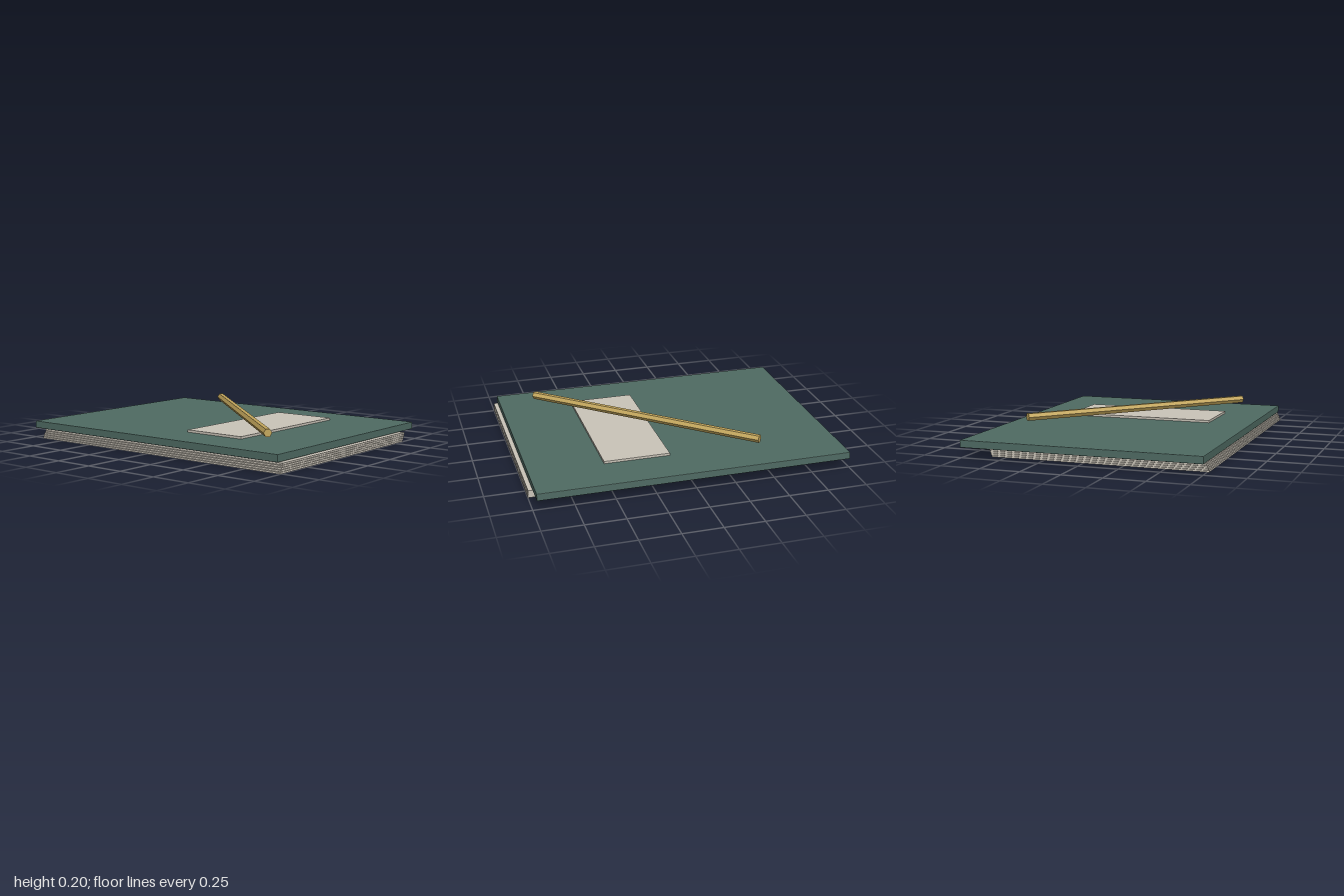
import * as THREE from 'three';
import { RoundedBoxGeometry } from 'three/addons/geometries/RoundedBoxGeometry.js';

const material = (color) => new THREE.MeshStandardMaterial({ color, flatShading: true });

// Mesh filling the given min/max ranges
function block(name, mat, [x0, x1], [y0, y1], [z0, z1], bevel = 0) {
  const size = [x1 - x0, y1 - y0, z1 - z0];
  const geometry = bevel
    ? new RoundedBoxGeometry(...size, 1, bevel)
    : new THREE.BoxGeometry(...size);
  const mesh = new THREE.Mesh(geometry, mat);
  mesh.name = name;
  mesh.position.set((x0 + x1) / 2, (y0 + y1) / 2, (z0 + z1) / 2);
  return mesh;
}

export function createModel() {
  const model = new THREE.Group();
  model.name = 'notebookWithPencil';
  const green = material(0x4f6b63);
  const paper = material(0xcbc5b9);
  const wood = material(0xc4a75c);

  // Stack of sheets, each shifted slightly sideways
  const pages = new THREE.Group();
  pages.name = 'pages';
  const count = 5, pitch = 0.0122;
  for (let i = 0; i < count; i++) {
    const shift = i * 0.0055;
    pages.add(block(`page${i + 1}`, paper,
      [-0.762 + shift, 0.59 + shift], [i * pitch, i * pitch + 0.0102], [-0.915, 1]));
  }
  model.add(pages);

  // Overhanging cover and the label on it
  model.add(block('cover', green, [-0.752, 0.76], [0.061, 0.107], [-1, 0.975], 0.004));
  model.add(block('label', paper, [-0.48, 0.486], [0.107, 0.122], [0.09, 0.508]));

  // Hexagonal pencil lying diagonally, flats up and down
  const pencil = new THREE.Mesh(new THREE.CylinderGeometry(0.026, 0.026, 1.636, 6), wood);
  pencil.name = 'pencil';
  pencil.position.set(0.01, 0.176, 0.137);
  pencil.rotation.set(0, 0.842, Math.PI / 2);
  model.add(pencil);

  return model;
}
